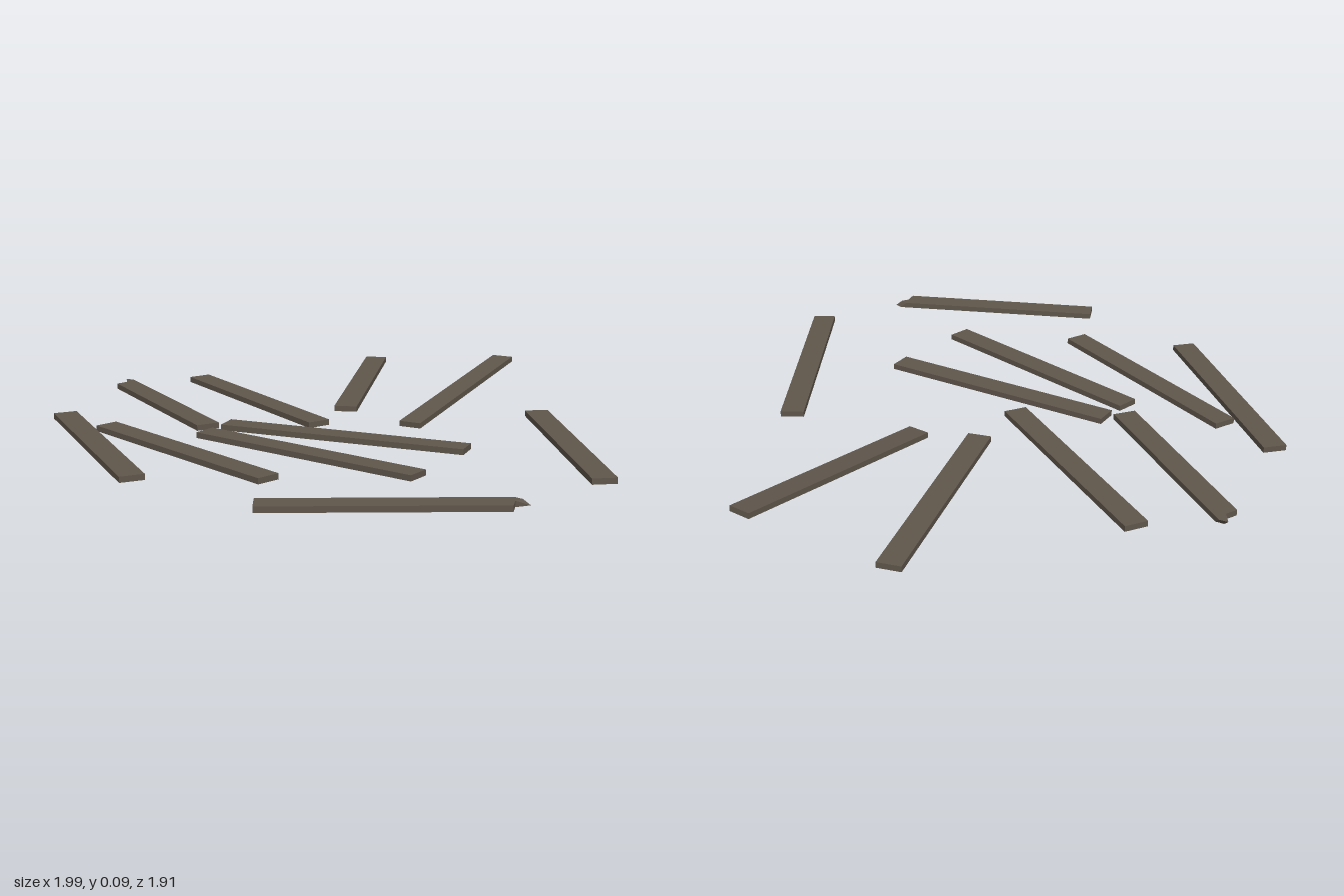
import * as THREE from 'three';

const WIDTH = 0.075, THICK = 0.018, REST = 0.045;

// Whole planks: [x, z] of one end, [x, z] of the other, rise of the second end over the first
const PLANKS = [
  [-0.489, -0.81, -0.12, -0.094, 0],
  [0.094, -0.157, -0.018, -0.953, 0.072],
  [0.424, -0.409, 0.965, 0.179, 0],
  [-0.821, -0.168, -0.072, 0.117, 0],
  [-0.307, 0.297, 0.475, 0.11, 0],
  [-0.297, 0.414, 0.509, 0.43, 0],
  [-0.604, 0.532, 0.184, 0.7, 0],
  [-0.82, 0.5, -0.131, 0.917, 0],
];

// Snapped planks: sound end [x, z], direction [dx, dz], roll about the long axis
const BROKEN = [
  [0.307, 0.92, 0.81, -0.59, 0],
  [-0.337, 0.35, -0.907, -0.42, Math.PI],
];

// Plank lying along +x from its sound end, with a splintered far end that slopes under
function brokenGeometry() {
  const h = WIDTH / 2;
  const outline = [[0, -h], [0.717, -h], [0.738, -0.019], [0.694, -0.003], [0.685, h], [0, h]];
  const shape = new THREE.Shape(outline.map(([x, z]) => new THREE.Vector2(x, -z)));
  const geo = new THREE.ExtrudeGeometry(shape, { depth: THICK, bevelEnabled: false });
  geo.rotateX(-Math.PI / 2).translate(0, -THICK / 2, 0);
  const p = geo.attributes.position;
  for (let i = 0; i < p.count; i++) {
    if (p.getX(i) > 0.7 && p.getY(i) > 0) p.setX(i, p.getX(i) - 0.022);
  }
  geo.computeVertexNormals();
  return geo;
}

export function createModel() {
  const model = new THREE.Group();
  model.name = 'scatteredPlanks';
  const wood = new THREE.MeshStandardMaterial({ color: 0x5f564b });
  wood.name = 'weathered wood';

  // Whole planks
  PLANKS.forEach(([x0, z0, x1, z1, rise], i) => {
    const flat = Math.hypot(x1 - x0, z1 - z0);
    const plank = new THREE.Mesh(new THREE.BoxGeometry(Math.hypot(flat, rise), THICK, WIDTH), wood);
    plank.name = `plank${i + 1}`;
    plank.position.set((x0 + x1) / 2, REST, (z0 + z1) / 2);
    plank.rotation.set(0, Math.atan2(z0 - z1, x1 - x0), Math.atan2(rise, flat), 'YZX');
    model.add(plank);
  });

  // Snapped planks
  const snapped = brokenGeometry();
  BROKEN.forEach(([x, z, dx, dz, roll], i) => {
    const plank = new THREE.Mesh(snapped, wood);
    plank.name = `brokenPlank${i + 1}`;
    plank.position.set(x, REST, z);
    plank.rotation.set(roll, Math.atan2(-dz, dx), 0, 'YZX');
    model.add(plank);
  });

  return model;
}
